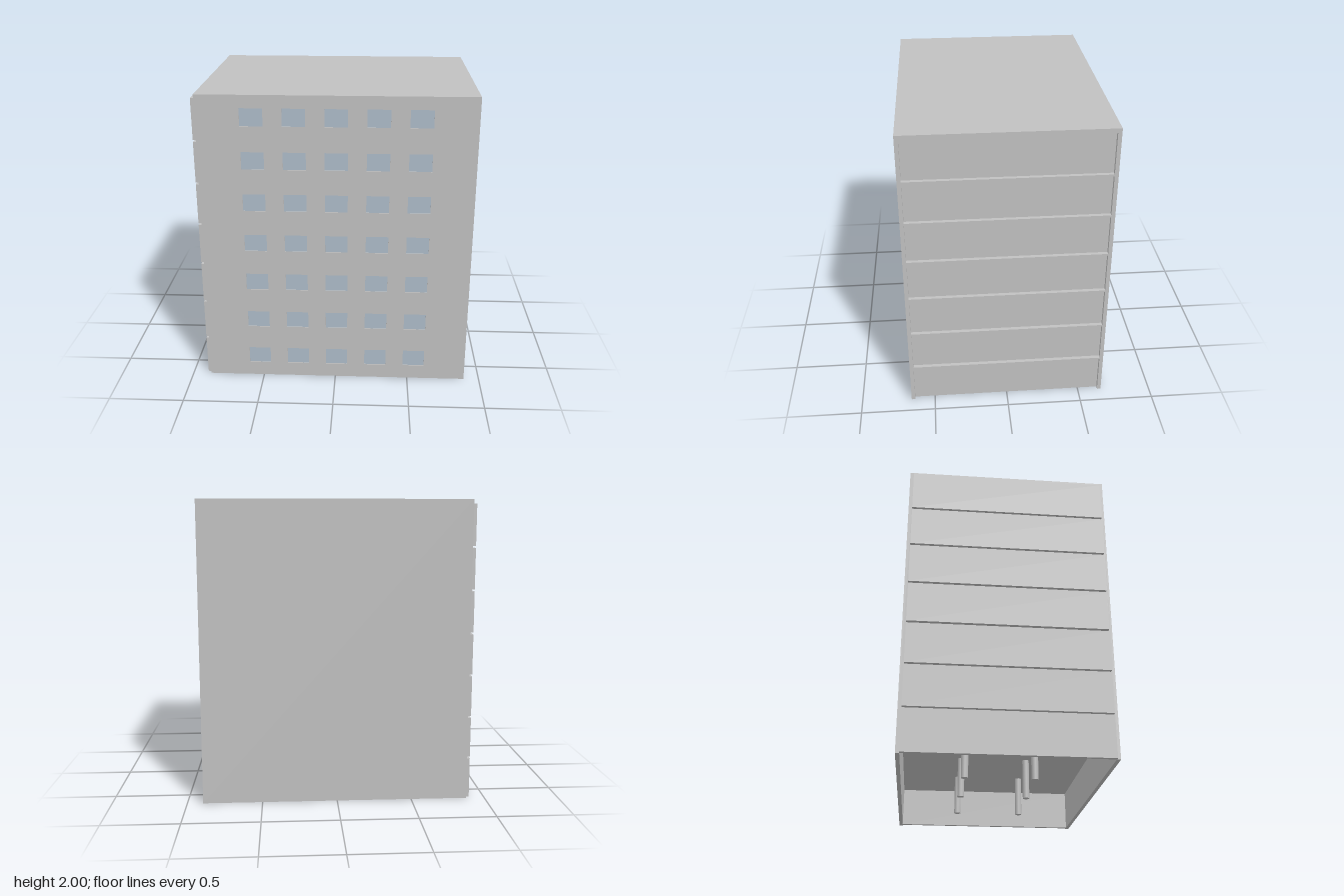
import * as THREE from 'three';

const FLOORS = 7, PITCH = 0.2833, STOREY = 0.27, SLAB = 0.0133;
const X0 = -0.875, X1 = 0.895, Z = 0.662, WALL = 0.025, SIDE_Z = 0.638;
const MID_X = (X0 + X1) / 2, LEN = X1 - X0;
const WIN_W = 0.147, WIN_H = 0.116, RECESS = 0.008;

export function createModel() {
  const concrete = new THREE.MeshStandardMaterial({ color: 0xc0c0c0 });
  concrete.name = 'concrete grey';
  const glass = new THREE.MeshStandardMaterial({ color: 0xadbbc9 });
  glass.name = 'window blue';

  const model = new THREE.Group();
  model.name = 'building';
  const add = (name, geometry, material, x, y, z) => {
    const mesh = new THREE.Mesh(geometry, material);
    mesh.name = name;
    mesh.position.set(x, y, z);
    model.add(mesh);
  };
  const box = (name, w, h, d, x, y, z, material = concrete) =>
    add(name, new THREE.BoxGeometry(w, h, d), material, x, y, z);

  // Back wall and the solid inner layer of the front wall
  box('backWall', LEN, 2, WALL, MID_X, 1, -Z + WALL / 2);
  const inner = WALL - RECESS;
  box('frontWallInner', LEN, 2, inner, MID_X, 1, Z - WALL + inner / 2);

  // Outer layer of the front wall, pierced by window openings
  const facade = new THREE.Shape();
  facade.moveTo(X0, 0).lineTo(X1, 0).lineTo(X1, 2).lineTo(X0, 2).closePath();
  for (let row = 0; row < FLOORS; row++) {
    for (let col = 0; col < 5; col++) {
      const x = 0.009 + (col - 2) * 0.266, y = 0.158 + row * PITCH;
      const l = x - WIN_W / 2, r = x + WIN_W / 2, b = y - WIN_H / 2, t = y + WIN_H / 2;
      const hole = new THREE.Path();
      hole.moveTo(l, b).lineTo(l, t).lineTo(r, t).lineTo(r, b).closePath();
      facade.holes.push(hole);
      box('window', WIN_W, WIN_H, 0.002, x, y, Z - RECESS + 0.001, glass);
    }
  }
  add('frontFacade', new THREE.ExtrudeGeometry(facade, { depth: RECESS, bevelEnabled: false }),
    concrete, 0, 0, Z - RECESS);

  for (let i = 0; i < FLOORS; i++) {
    const base = i * PITCH;

    // Side panels: proud of the slabs on one end, set back on the other
    for (const outer of [-0.9 + WALL / 2, 0.87 - WALL / 2]) {
      box('sidePanel', WALL, STOREY, SIDE_Z * 2, outer, base + STOREY / 2, 0);
    }

    // Floor slab over each storey, the last one being the roof
    const roof = i === FLOORS - 1;
    const bottom = base + STOREY, top = roof ? 2 : bottom + SLAB;
    box(roof ? 'roof' : 'floorSlab', LEN, top - bottom, (Z - WALL) * 2, MID_X, (top + bottom) / 2, 0);

    // Interior columns, two rows of three
    for (const x of [-0.42, 0.025, 0.47]) {
      for (const z of [-0.235, 0.215]) {
        add('column', new THREE.CylinderGeometry(0.023, 0.023, STOREY, 12), concrete,
          x, base + STOREY / 2, z);
      }
    }
  }
  return model;
}
